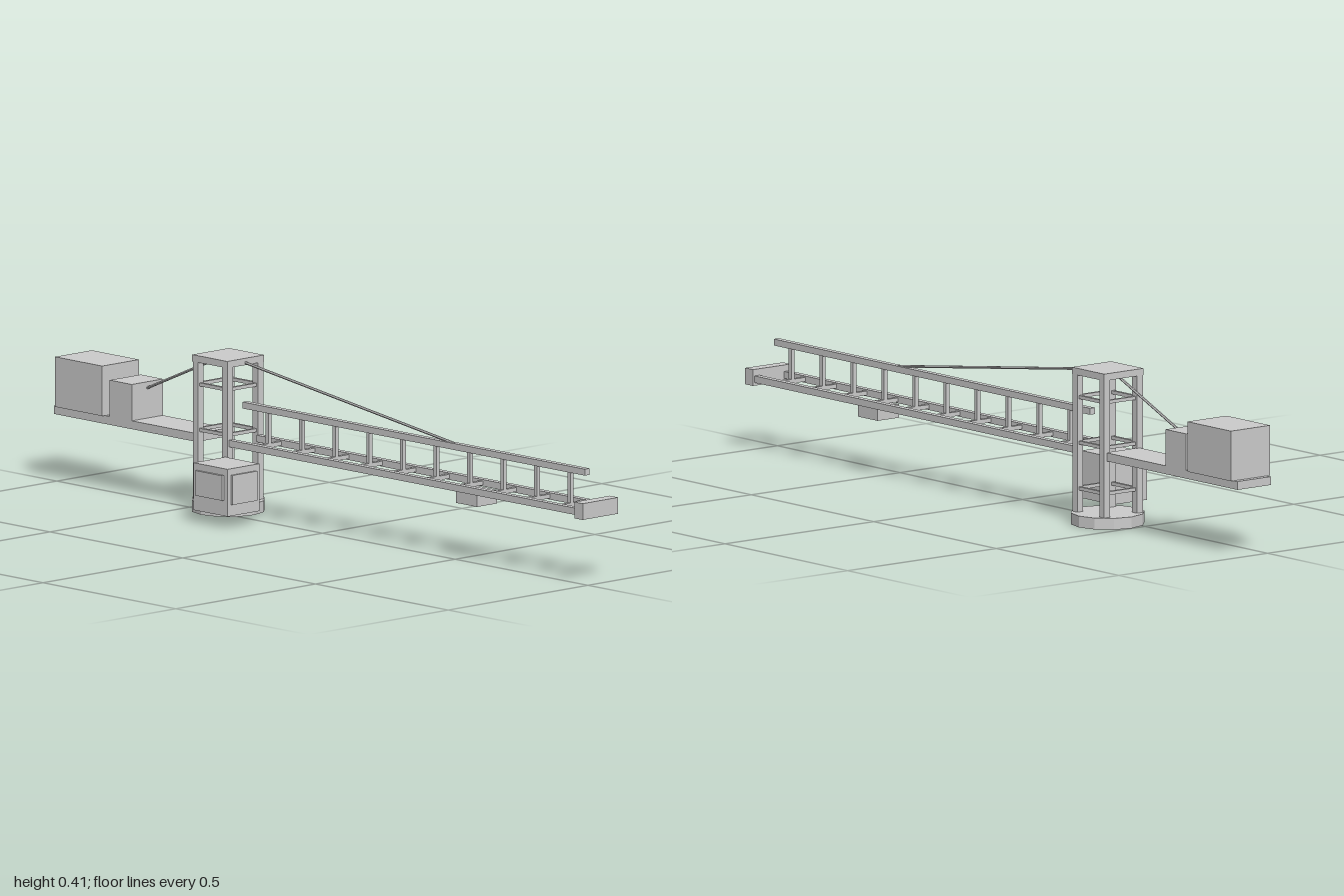
import * as THREE from 'three';

const CZ = -0.045; // centre line of tower and jib
const TX = -0.402; // tower centre

export function createModel() {
  const crane = new THREE.Group();
  crane.name = 'towerCrane';
  const mat = new THREE.MeshStandardMaterial({ color: 0xcccccc, flatShading: true });

  const add = (name, geometry, parent = crane) => {
    const mesh = new THREE.Mesh(geometry, mat);
    mesh.name = name;
    parent.add(mesh);
    return mesh;
  };
  // Box given by its low and high limits on each axis
  const box = (name, [x0, x1], [y0, y1], [z0, z1], parent) => {
    const mesh = add(name, new THREE.BoxGeometry(x1 - x0, y1 - y0, z1 - z0), parent);
    mesh.position.set((x0 + x1) / 2, (y0 + y1) / 2, (z0 + z1) / 2);
    return mesh;
  };
  const around = (c, size) => [c - size / 2, c + size / 2];
  const group = (name) => {
    const g = new THREE.Group();
    g.name = name;
    crane.add(g);
    return g;
  };
  // Thin rod between two points on the centre line
  const cable = (name, x0, y0, x1, y1) => {
    const a = new THREE.Vector3(x0, y0, CZ), b = new THREE.Vector3(x1, y1, CZ);
    const dir = b.clone().sub(a);
    const rod = add(name, new THREE.CylinderGeometry(0.0037, 0.0037, dir.length(), 6));
    rod.position.copy(a).add(b).multiplyScalar(0.5);
    rod.quaternion.setFromUnitVectors(new THREE.Vector3(0, 1, 0), dir.normalize());
  };

  // Tower: round base, four posts, three rings of braces, cap
  const tower = group('tower');
  add('base', new THREE.CylinderGeometry(0.097, 0.097, 0.03, 12), tower).position.set(TX, 0.015, CZ);
  const off = 0.055;
  for (const sx of [-1, 1])
    for (const sz of [-1, 1])
      box('post', around(TX + sx * off, 0.02), [0.03, 0.393], around(CZ + sz * off, 0.02), tower);
  for (const y of [0.092, 0.213, 0.333])
    for (const s of [-1, 1]) {
      box('brace', around(TX, 2 * off), around(y, 0.009), around(CZ + s * off, 0.009), tower);
      box('brace', around(TX + s * off, 0.009), around(y, 0.009), around(CZ, 2 * off), tower);
    }
  box('cap', around(TX, 0.132), [0.392, 0.41], around(CZ, 0.132), tower);

  // Jib: two lower chords, one upper chord, uprights on cross bars
  const jib = group('jib');
  for (const s of [-1, 1])
    box('lowerChord', [-0.34, 0.968], [0.183, 0.201], around(CZ + s * 0.05, 0.017), jib);
  box('upperChord', [-0.34, 0.95], [0.278, 0.295], around(CZ, 0.017), jib);
  for (let i = 0; i < 10; i++) {
    const x = -0.25 + i * 0.1264;
    box('upright', around(x, 0.011), [0.19, 0.28], around(CZ, 0.011), jib);
    box('crossBar', around(x, 0.011), around(0.192, 0.011), around(CZ, 0.1), jib);
  }
  box('jibEnd', [0.968, 1], [0.175, 0.218], around(CZ, 0.127), jib);
  box('trolley', [0.493, 0.573], [0.147, 0.183], around(CZ, 0.072), jib);

  // Counter jib with ballast and winch
  const counter = group('counterJib');
  box('deck', [-1, -0.462], [0.179, 0.201], around(CZ, 0.112), counter);
  box('ballast', [-0.985, -0.807], [0.201, 0.333], around(CZ, 0.132), counter);
  box('winch', [-0.79, -0.706], [0.201, 0.297], around(CZ, 0.112), counter);

  // Operator cabin with raised window panels
  const cabin = group('cabin');
  box('cabinBody', [-0.342, -0.214], [0.032, 0.157], [0.022, 0.136], cabin);
  box('frontWindow', [-0.329, -0.227], [0.073, 0.139], [0.13, 0.143], cabin);
  box('sideWindow', [-0.22, -0.208], [0.062, 0.14], [0.034, 0.124], cabin);

  // Stay cables
  cable('jibCable', -0.36, 0.401, 0.45, 0.293);
  cable('counterCable', -0.43, 0.4, -0.81, 0.236);

  return crane;
}
